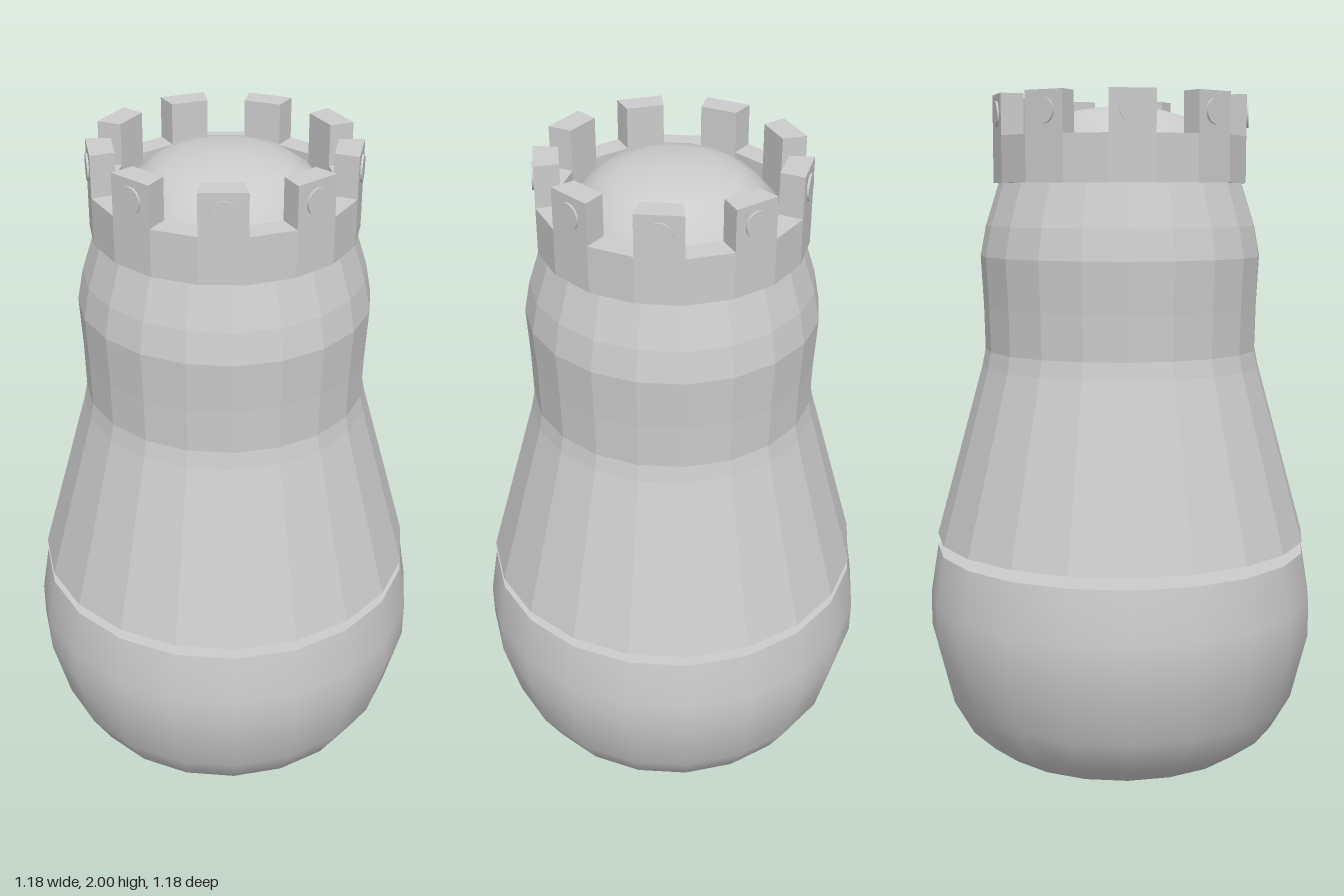
import * as THREE from 'three';
import { toCreasedNormals } from 'three/addons/utils/BufferGeometryUtils.js';

const smooth = new THREE.MeshStandardMaterial({ color: 0xcccccc });
const faceted = new THREE.MeshStandardMaterial({ color: 0xcccccc, flatShading: true });

function addMesh(parent, name, geometry, material) {
  const mesh = new THREE.Mesh(geometry, material);
  mesh.name = name;
  parent.add(mesh);
  return mesh;
}

// Profiles are [radius, height] pairs running up the outside.
function turned(profile, sides, phiStart = 0) {
  return new THREE.LatheGeometry(profile.map(([r, y]) => new THREE.Vector2(r, y)), sides, phiStart);
}

export function createModel() {
  const model = new THREE.Group();
  model.name = 'rookPiece';

  // Rounded, weighted base, closed above and below
  const baseProfile = [
    [0, 0], [0.32, 0.005], [0.4, 0.02], [0.48, 0.08], [0.54, 0.185],
    [0.59, 0.385], [0.59, 0.49], [0.566, 0.64], [0, 0.64],
  ];
  addMesh(model, 'base', toCreasedNormals(turned(baseProfile, 20), 0.9), smooth);

  // Faceted body, floating just above the base
  const bodyProfile = [
    [0, 0.675], [0.566, 0.675], [0.421, 1.2], [0.411, 1.25], [0.414, 1.38],
    [0.422, 1.53], [0.405, 1.62], [0.365, 1.745], [0, 1.745],
  ];
  addMesh(model, 'body', turned(bodyProfile, 20), faceted);

  // Crown ring: 18 sides with a flat facing the front
  const outer = 0.38, inner = 0.31, ringBottom = 1.745, ringTop = 1.88, top = 2;
  const half = Math.PI / 18;
  const ringProfile = [
    [inner, ringBottom], [outer, ringBottom], [outer, ringTop], [inner, ringTop], [inner, ringBottom],
  ];
  addMesh(model, 'crownRing', turned(ringProfile, 18, half), faceted);

  // Shallow dome inside the crown
  const domeProfile = [
    [0.31, 1.79], [0.295, 1.84], [0.24, 1.905], [0.19, 1.94], [0.13, 1.958], [0.05, 1.968], [0, 1.97],
  ];
  addMesh(model, 'dome', turned(domeProfile, 18, half), smooth);

  // Nine battlements, one on every second side of the ring, each with a round stud
  const s = Math.sin(half), c = Math.cos(half);
  const wedge = new THREE.Shape([
    new THREE.Vector2(-outer * s, -outer * c),
    new THREE.Vector2(outer * s, -outer * c),
    new THREE.Vector2(inner * s, -inner * c),
    new THREE.Vector2(-inner * s, -inner * c),
  ]);
  const merlonGeometry = new THREE.ExtrudeGeometry(wedge, { depth: top - ringTop, bevelEnabled: false });
  merlonGeometry.rotateX(-Math.PI / 2).translate(0, ringTop, 0);
  const studGeometry = new THREE.CylinderGeometry(0.037, 0.037, 0.012, 16);
  studGeometry.rotateX(Math.PI / 2).translate(0, 1.943, outer * c);

  for (let i = 0; i < 9; i++) {
    const battlement = new THREE.Group();
    battlement.name = 'battlement' + (i + 1);
    addMesh(battlement, 'merlon', merlonGeometry, faceted);
    addMesh(battlement, 'stud', studGeometry, smooth);
    battlement.rotation.y = (i / 9) * Math.PI * 2;
    model.add(battlement);
  }
  return model;
}
